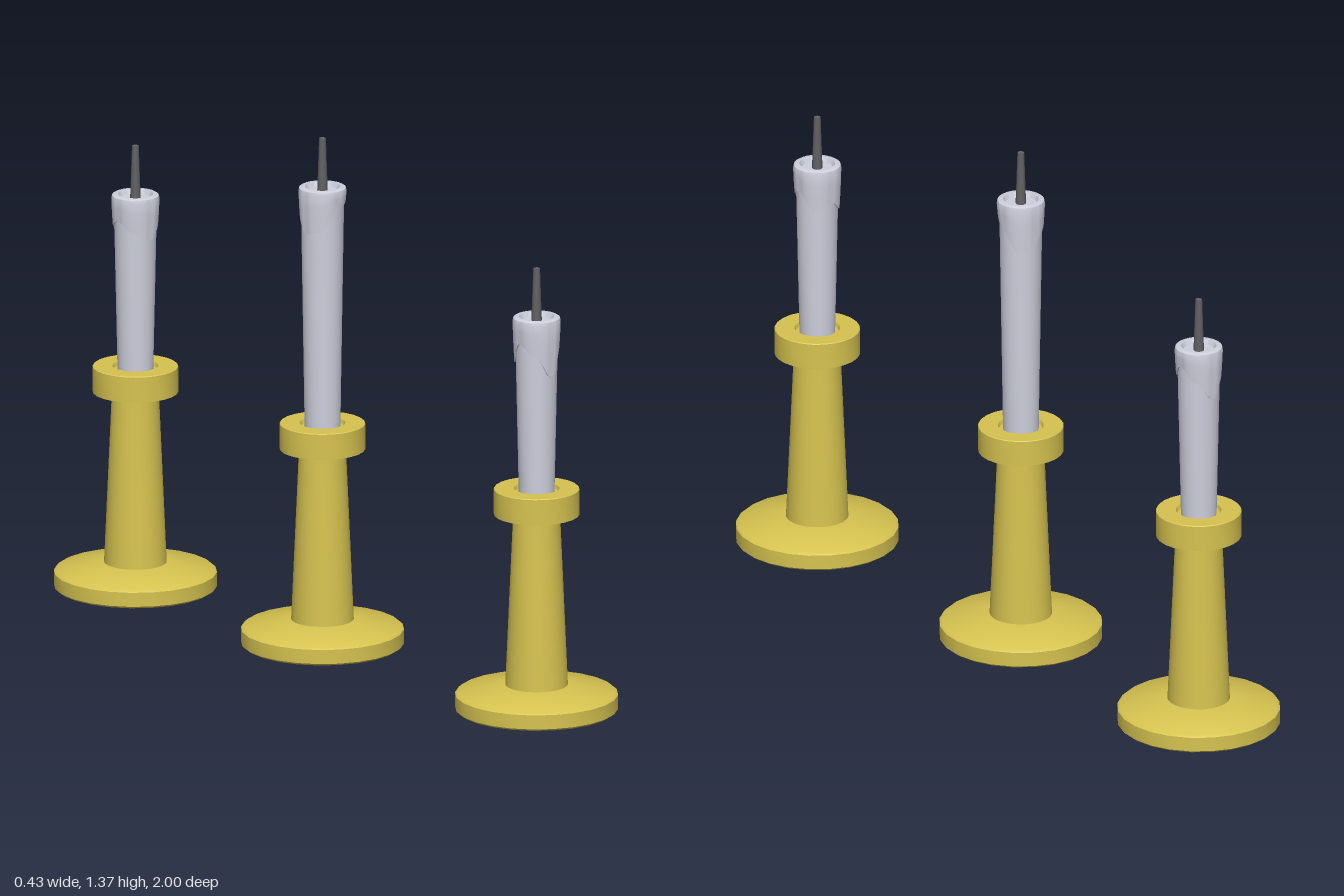
import * as THREE from 'three';
import { toCreasedNormals } from 'three/addons/utils/BufferGeometryUtils.js';

const brass = new THREE.MeshStandardMaterial({ color: 0xd6c350 });
brass.name = 'brass';
const wax = new THREE.MeshStandardMaterial({ color: 0xcdcfdc });
wax.name = 'wax';
const wickGrey = new THREE.MeshStandardMaterial({ color: 0x626264 });
wickGrey.name = 'wickGrey';

// Turned part from [radius, height] pairs, listed bottom to top
function turned(name, profile, material, segments = 24, reshape) {
  const geo = new THREE.LatheGeometry(profile.map(([r, y]) => new THREE.Vector2(r, y)), segments);
  if (reshape) reshape(geo.attributes.position);
  const mesh = new THREE.Mesh(toCreasedNormals(geo, 0.65), material);
  mesh.name = name;
  return mesh;
}

// Smooth closed interpolation of heights spaced evenly round the candle
function edgeHeight(heights, angle) {
  const n = heights.length;
  const u = ((angle / (Math.PI * 2)) % 1 + 1) % 1 * n;
  const i = Math.floor(u) % n;
  const t = u - Math.floor(u);
  return THREE.MathUtils.lerp(heights[i], heights[(i + 1) % n], t * t * (3 - 2 * t));
}

function createCandlestick(name, z, top, drips) {
  const group = new THREE.Group();
  group.name = name;
  group.position.z = z;
  const bodyRadius = y => 0.047 + 0.01 * (y - 0.6) / (top - 0.6);

  // Holder
  group.add(turned('base', [[0, 0], [0.205, 0], [0.213, 0.006], [0.213, 0.044], [0.206, 0.05], [0.08, 0.07], [0, 0.07]], brass));
  group.add(turned('stem', [[0.082, 0.065], [0.061, 0.54]], brass));
  group.add(turned('collar', [[0, 0.53], [0.112, 0.53], [0.112, 0.598], [0.11, 0.6], [0.06, 0.6], [0.056, 0.59], [0, 0.59]], brass));

  // Candle shaft
  group.add(turned('candle', [[bodyRadius(0.585), 0.585], [bodyRadius(top - 0.03), top - 0.03]], wax));

  // Melted wax cap: rows 0-4 run from the wavy lower edge up to the rim
  const rows = 5;
  const profile = [];
  for (let i = 0; i < rows; i++) profile.push([0.06, i / (rows - 1)]);
  profile.push([0.061, top - 0.003], [0.056, top], [0.046, top], [0.04, top - 0.012], [0, top - 0.014]);
  const segments = 40;
  group.add(turned('meltedWax', profile, wax, segments, pos => {
    for (let k = 0; k < pos.count; k++) {
      const row = k % profile.length;
      if (row >= rows) continue;
      const a = Math.floor(k / profile.length) / segments * Math.PI * 2;
      const t = Math.max(0, row - 1) / (rows - 2);
      const y = THREE.MathUtils.lerp(edgeHeight(drips, a), top - 0.012, t);
      // The first row tucks the lip back into the shaft
      const r = row === 0 ? bodyRadius(y) - 0.003 : THREE.MathUtils.lerp(bodyRadius(y) + 0.004, 0.063, t);
      pos.setXYZ(k, Math.sin(a) * r, y, Math.cos(a) * r);
    }
  }));

  // Wick
  const wick = new THREE.Mesh(new THREE.CylinderGeometry(0.009, 0.014, 0.15, 8), wickGrey);
  wick.name = 'wick';
  wick.position.y = top + 0.055;
  group.add(wick);
  return group;
}

export function createModel() {
  const model = new THREE.Group();
  model.name = 'candlesticks';
  model.add(
    createCandlestick('frontCandlestick', 0.787, 1.065, [0.91, 0.98, 1.0, 0.95, 0.97, 0.94, 1.0, 0.97]),
    createCandlestick('tallCandlestick', -0.053, 1.24, [1.19, 1.2, 1.17, 1.11, 1.13, 1.17, 1.12, 1.13]),
    createCandlestick('backCandlestick', -0.787, 1.065, [0.95, 0.98, 1.02, 0.98, 0.93, 0.98, 1.0, 0.97])
  );
  return model;
}
